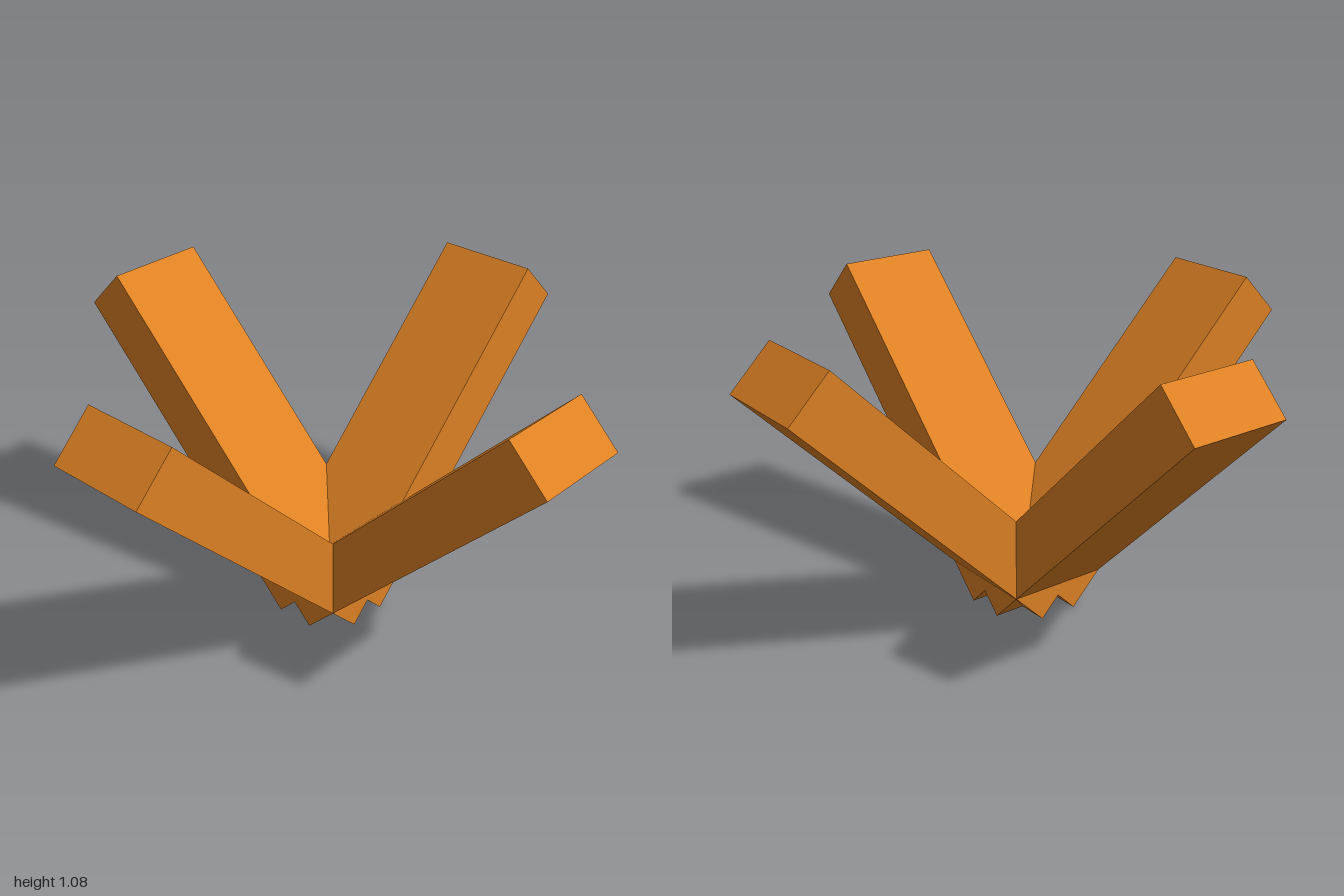
import * as THREE from 'three';

export function createModel() {
  const model = new THREE.Group();
  model.name = 'crossedBeams';

  const orange = new THREE.MeshStandardMaterial({ color: 0xe08224 });
  orange.name = 'orange';

  const width = 0.368, thickness = 0.207, length = 1.315;
  const beamGeometry = new THREE.BoxGeometry(length, thickness, width);

  // Four beams rise at 45 degrees from a shared, crossing foot
  ['left', 'back', 'right', 'front'].forEach((side, i) => {
    const arm = new THREE.Group();
    arm.name = side + 'Arm';
    arm.rotation.y = i * Math.PI / 2;

    const beam = new THREE.Mesh(beamGeometry, orange);
    beam.name = side + 'Beam';
    beam.rotation.z = Math.PI / 4;
    beam.position.set(0.462, 0.538, 0);
    arm.add(beam);
    model.add(arm);
  });

  return model;
}
